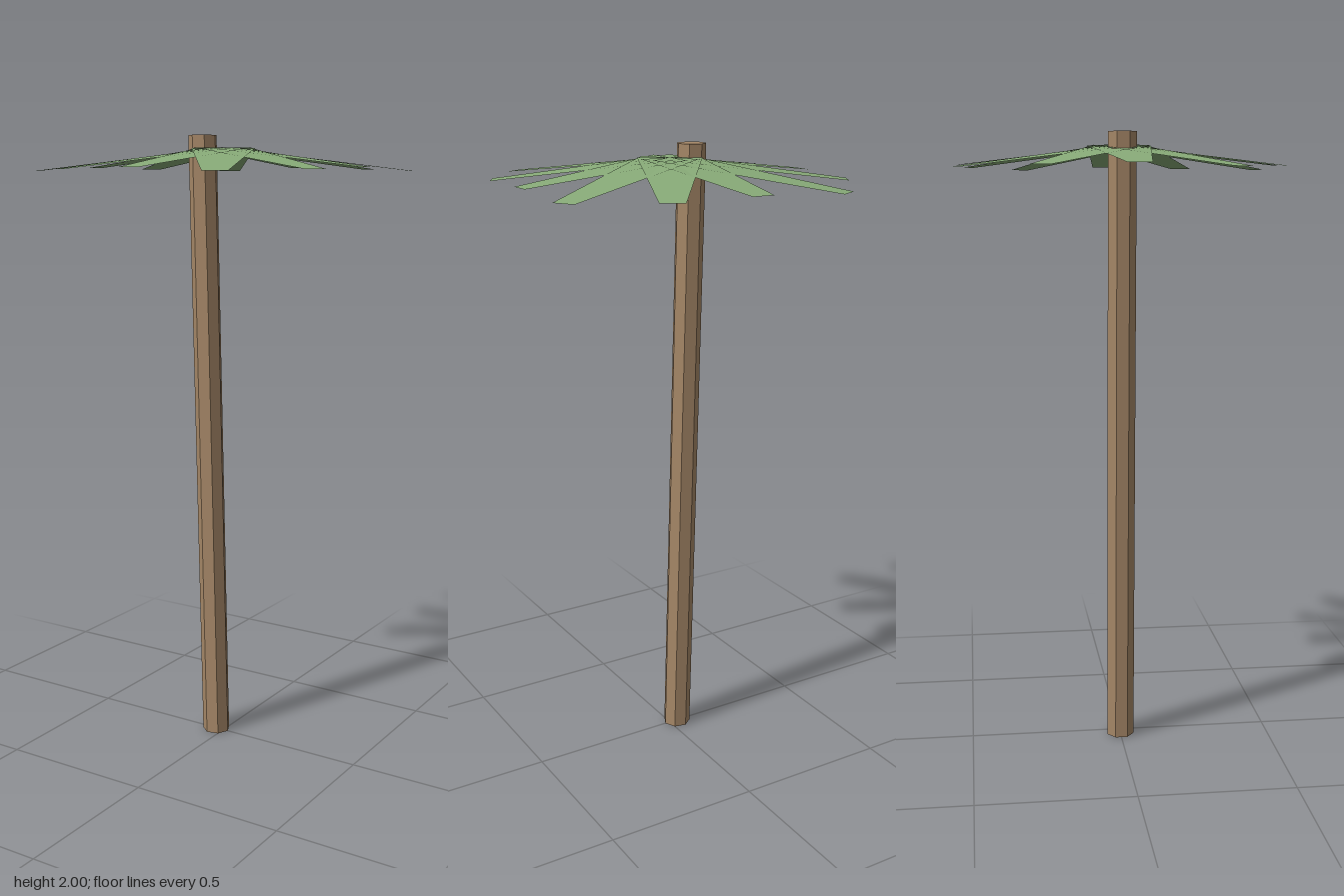
import * as THREE from 'three';

const HEIGHT = 2;
const CROWN_Y = 1.96;
const LEAF_COUNT = 12;
const LEAF_LENGTHS = [0.503, 0.546, 0.587]; // repeat around the crown
const DROOP = 0.12; // fall per unit of length

// Flat tapering frond: wide at the crown centre, narrow at the tip, pointing along +x
function frondGeometry(length) {
  const base = 0.1, tip = 0.036, drop = -DROOP * length;
  const geometry = new THREE.BufferGeometry();
  geometry.setAttribute('position', new THREE.Float32BufferAttribute([
    0, 0, base, length, drop, tip, length, drop, -tip, 0, 0, -base,
  ], 3));
  geometry.setIndex([0, 1, 2, 0, 2, 3]);
  geometry.computeVertexNormals();
  return geometry;
}

export function createModel() {
  const model = new THREE.Group();
  model.name = 'palmTree';

  const bark = new THREE.MeshStandardMaterial({ color: 0xa58767, flatShading: true });
  const green = new THREE.MeshStandardMaterial({
    color: 0x88ab78, flatShading: true, side: THREE.DoubleSide,
  });

  // Seven-sided trunk, leaning toward -x
  const trunkGeometry = new THREE.CylinderGeometry(0.046, 0.046, HEIGHT, 7);
  trunkGeometry.rotateY(Math.PI / 2).translate(0, HEIGHT / 2, 0);
  const position = trunkGeometry.attributes.position;
  for (let i = 0; i < position.count; i++) {
    const t = position.getY(i) / HEIGHT;
    position.setX(i, position.getX(i) + THREE.MathUtils.lerp(-0.028, -0.077, t));
  }
  trunkGeometry.computeVertexNormals();
  const trunk = new THREE.Mesh(trunkGeometry, bark);
  trunk.name = 'trunk';
  model.add(trunk);

  // Crown of drooping fronds that overlap at the centre
  const crown = new THREE.Group();
  crown.name = 'crown';
  crown.position.y = CROWN_Y;
  const geometries = LEAF_LENGTHS.map(frondGeometry);
  for (let i = 0; i < LEAF_COUNT; i++) {
    const frond = new THREE.Mesh(geometries[i % 3], green);
    frond.name = `frond${i + 1}`;
    frond.rotation.y = -i * 2 * Math.PI / LEAF_COUNT;
    crown.add(frond);
  }
  model.add(crown);

  return model;
}
